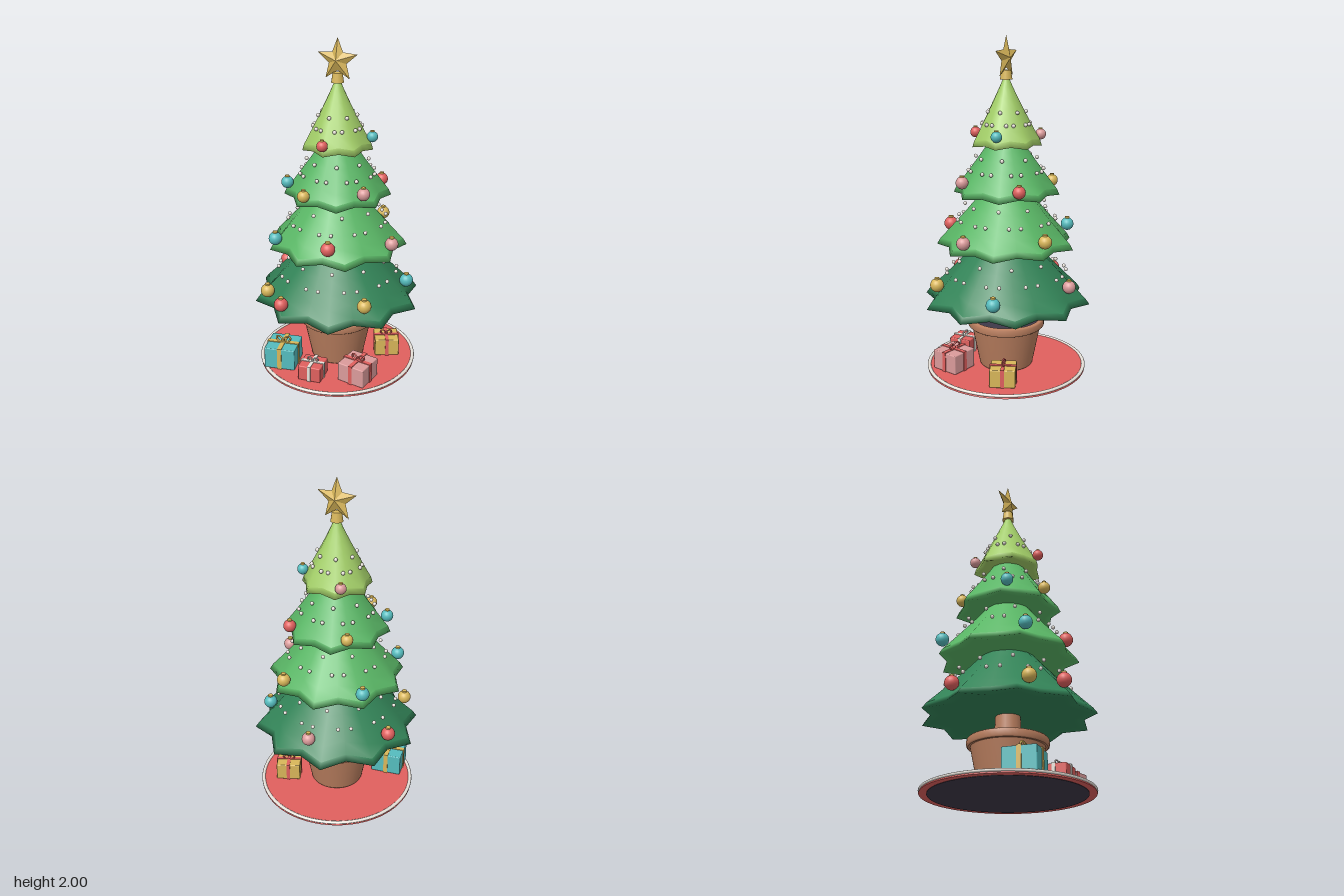
import * as THREE from 'three';
import { RoundedBoxGeometry } from 'three/addons/geometries/RoundedBoxGeometry.js';

function paint(name, color) {
  const m = new THREE.MeshStandardMaterial({ color });
  m.name = name;
  return m;
}

const mats = {
  darkGreen: paint('dark green', 0x338458),
  green: paint('mid green', 0x5ab766),
  lightGreen: paint('light green', 0xa3cf68),
  red: paint('red', 0xe0605e),
  gold: paint('gold', 0xd9b75a),
  teal: paint('teal', 0x55bcbe),
  pink: paint('pink', 0xdb9b9b),
  white: paint('warm white', 0xe8e2da),
  terracotta: paint('terracotta', 0xbc8060),
  dark: paint('dark underside', 0x3e3848),
};

function add(parent, name, geometry, material, x = 0, y = 0, z = 0) {
  const mesh = new THREE.Mesh(geometry, material);
  mesh.name = name;
  mesh.position.set(x, y, z);
  parent.add(mesh);
  return mesh;
}

// Foliage tiers: hem height, top height, hem tip radius, top radius, lobes, first tip angle,
// then height and radius of the lower and upper bead rings
const tiers = [
  { mat: 'darkGreen', hem: 0.43, top: 0.85, R: 0.508, rTop: 0.12, n: 10, off: 0, low: [0.615, 0.36], high: [0.7, 0.3] },
  { mat: 'green', hem: 0.775, top: 1.18, R: 0.415, rTop: 0.08, n: 9, off: Math.PI / 9, low: [0.94, 0.293], high: [1.025, 0.243] },
  { mat: 'green', hem: 1.085, top: 1.46, R: 0.315, rTop: 0.06, n: 8, off: Math.PI / 8, low: [1.23, 0.222], high: [1.305, 0.18] },
  { mat: 'lightGreen', hem: 1.37, top: 1.77, R: 0.208, rTop: 0.012, n: 7, off: -Math.PI / 14, low: [1.5, 0.142], high: [1.57, 0.114] },
];

const lipHeight = 0.035;
const valley = (t, a) => (1 - Math.cos(t.n * (a - t.off))) / 2;

// Scalloped cone radius at s (0 = top, 1 = edge above the hem)
function tierRadius(t, s, a) {
  const r = THREE.MathUtils.lerp(t.rTop, t.R * 0.95, Math.pow(s, 1.1));
  return r * (1 - 0.14 * s * valley(t, a));
}

function tierGeometry(t) {
  const seg = t.n * 2;
  const pos = [], idx = [];
  // Each strip is a list of row functions; separate strips keep the hem crisp
  const strip = rows => {
    const base = pos.length / 3;
    rows.forEach(row => {
      for (let j = 0; j < seg; j++) {
        const a = t.off + (j / seg) * Math.PI * 2;
        const [r, y] = row(a);
        pos.push(r * Math.cos(a), y, r * Math.sin(a));
      }
    });
    for (let i = 0; i < rows.length - 1; i++) {
      for (let j = 0; j < seg; j++) {
        const k = (j + 1) % seg;
        const a = base + i * seg + j, b = base + i * seg + k;
        idx.push(a, b, a + seg, b, b + seg, a + seg);
      }
    }
  };
  const lift = a => 0.012 * valley(t, a);
  const outer = s => a => [tierRadius(t, s, a),
    THREE.MathUtils.lerp(t.top, t.hem + lipHeight, s) + lift(a) * s];
  const lip = a => [tierRadius(t, 1, a) / 0.95, t.hem + lift(a)];
  const under = f => a => [tierRadius(t, 1, a) * f, t.hem + 0.012];
  strip([0, 0.17, 0.34, 0.5, 0.67, 0.84, 1].map(outer));
  strip([outer(1), lip, under(0.9), under(0.5), () => [0.02, t.hem + 0.014]]);
  const g = new THREE.BufferGeometry();
  g.setAttribute('position', new THREE.Float32BufferAttribute(pos, 3));
  g.setIndex(idx);
  g.computeVertexNormals();
  return g;
}

// Faceted star with a raised centre on both faces
function starGeometry(R, r, depth) {
  const p = i => {
    const a = Math.PI / 2 + (i * Math.PI) / 5, q = i % 2 ? r : R;
    return [q * Math.cos(a), q * Math.sin(a), 0];
  };
  const pos = [];
  for (let i = 0; i < 10; i++) {
    pos.push(...p(i), ...p(i + 1), 0, 0, depth);
    pos.push(...p(i + 1), ...p(i), 0, 0, -depth);
  }
  const g = new THREE.BufferGeometry();
  g.setAttribute('position', new THREE.Float32BufferAttribute(pos, 3));
  g.computeVertexNormals();
  return g;
}

function bauble(parent, color, x, y, z, r) {
  const g = new THREE.Group();
  g.name = color + 'Bauble';
  g.position.set(x, y, z);
  add(g, 'ball', new THREE.SphereGeometry(r, 20, 14), mats[color]);
  add(g, 'cap', new THREE.CylinderGeometry(r * 0.36, r * 0.38, r * 0.25, 12), mats.gold, 0, r * 1.01, 0);
  parent.add(g);
}

function gift(parent, color, ribbon, x, z, w, h, turn) {
  const g = new THREE.Group();
  g.name = color + 'Gift';
  g.position.set(x, 0.02, z);
  g.rotation.y = turn;
  add(g, 'box', new RoundedBoxGeometry(w, h, w, 2, 0.006), mats[color], 0, h / 2, 0);
  const band = w * 0.14, o = 0.008;
  add(g, 'ribbonAcross', new THREE.BoxGeometry(w + o, h + o, band), mats[ribbon], 0, h / 2, 0);
  add(g, 'ribbonAlong', new THREE.BoxGeometry(band, h + o, w + o), mats[ribbon], 0, h / 2, 0);
  const k = w * 0.12;
  add(g, 'knot', new THREE.SphereGeometry(k * 0.5, 12, 8), mats[ribbon], 0, h + k * 0.5, 0);
  for (const s of [-1, 1]) {
    const loop = add(g, 'bowLoop', new THREE.TorusGeometry(k, k * 0.27, 8, 18), mats[ribbon], s * k, h + k * 0.85, 0);
    loop.scale.y = 0.75;
    loop.rotation.set(0, s * 0.3, s * 0.4);
  }
  parent.add(g);
}

export function createModel() {
  const root = new THREE.Group();
  root.name = 'decoratedTree';

  // Round mat with a pale rim
  add(root, 'matUnderside', new THREE.CylinderGeometry(0.44, 0.44, 0.004, 64), mats.dark, 0, 0.002, 0);
  add(root, 'mat', new THREE.CylinderGeometry(0.474, 0.483, 0.018, 64), mats.red, 0, 0.011, 0);
  const rim = add(root, 'matRim', new THREE.TorusGeometry(0.475, 0.011, 10, 72), mats.white, 0, 0.018, 0);
  rim.rotation.x = Math.PI / 2;
  rim.scale.z = 0.8;

  // Pot, soil and trunk
  const potProfile = [[0, 0.02], [0.158, 0.02], [0.163, 0.03], [0.21, 0.265], [0.21, 0.265], [0.224, 0.265],
    [0.224, 0.265], [0.232, 0.272], [0.232, 0.305], [0.225, 0.313], [0.205, 0.313], [0.205, 0.313], [0.195, 0.28]];
  add(root, 'pot', new THREE.LatheGeometry(potProfile.map(p => new THREE.Vector2(...p)), 40), mats.terracotta);
  add(root, 'soil', new THREE.CylinderGeometry(0.198, 0.19, 0.02, 40), mats.dark, 0, 0.28, 0);
  add(root, 'trunk', new THREE.CylinderGeometry(0.065, 0.08, 0.3, 20), mats.terracotta, 0, 0.43, 0);

  // Foliage: bead pairs over each valley, single beads above each tip
  const beadGeo = new THREE.SphereGeometry(0.0115, 10, 8);
  tiers.forEach((t, i) => {
    add(root, 'foliageTier' + (i + 1), tierGeometry(t), mats[t.mat]);
    for (let j = 0; j < t.n; j++) {
      for (const [[y, r], step] of [[t.high, 0], [t.low, 1 / 3], [t.low, 2 / 3]]) {
        const a = t.off + ((j + step) / t.n) * Math.PI * 2;
        add(root, 'bead', beadGeo, mats.white, r * Math.cos(a), y, r * Math.sin(a));
      }
    }
  });

  // Baubles: colour, x, y, z, radius
  [
    ['gold', -0.315, 0.53, 0.315, 0.041], ['red', -0.16, 0.53, 0.44, 0.041], ['gold', 0.3, 0.55, 0.3, 0.041],
    ['red', -0.405, 0.54, -0.11, 0.041], ['teal', 0.395, 0.535, -0.145, 0.041], ['pink', -0.035, 0.56, -0.405, 0.039],
    ['teal', -0.275, 0.86, 0.275, 0.039], ['gold', 0.16, 0.87, -0.345, 0.039], ['teal', -0.305, 0.865, -0.255, 0.039],
    ['pink', 0.37, 0.855, 0.065, 0.039], ['red', 0.09, 0.88, 0.335, 0.041],
    ['teal', -0.255, 1.17, 0.145, 0.036], ['gold', -0.08, 1.155, 0.29, 0.035], ['pink', 0.23, 1.17, 0.16, 0.037],
    ['red', 0.2, 1.145, -0.2, 0.037], ['gold', -0.18, 1.155, -0.21, 0.035],
    ['red', 0, 1.435, 0.21, 0.032], ['teal', 0.195, 1.445, -0.05, 0.032], ['pink', -0.115, 1.435, -0.165, 0.032],
  ].forEach(b => bauble(root, ...b));

  // Gifts around the pot
  gift(root, 'teal', 'gold', -0.255, 0.25, 0.19, 0.135, 0.2);
  gift(root, 'red', 'white', -0.02, 0.32, 0.14, 0.095, 0.1);
  gift(root, 'pink', 'red', 0.235, 0.23, 0.175, 0.118, -0.15);
  gift(root, 'gold', 'red', 0.275, -0.14, 0.15, 0.108, 0.45);

  // Star on a small socket
  add(root, 'starSocket', new THREE.CylinderGeometry(0.028, 0.036, 0.055, 16), mats.gold, 0, 1.778, 0);
  add(root, 'star', starGeometry(0.126, 0.056, 0.028), mats.gold, 0, 1.874, 0);

  return root;
}
